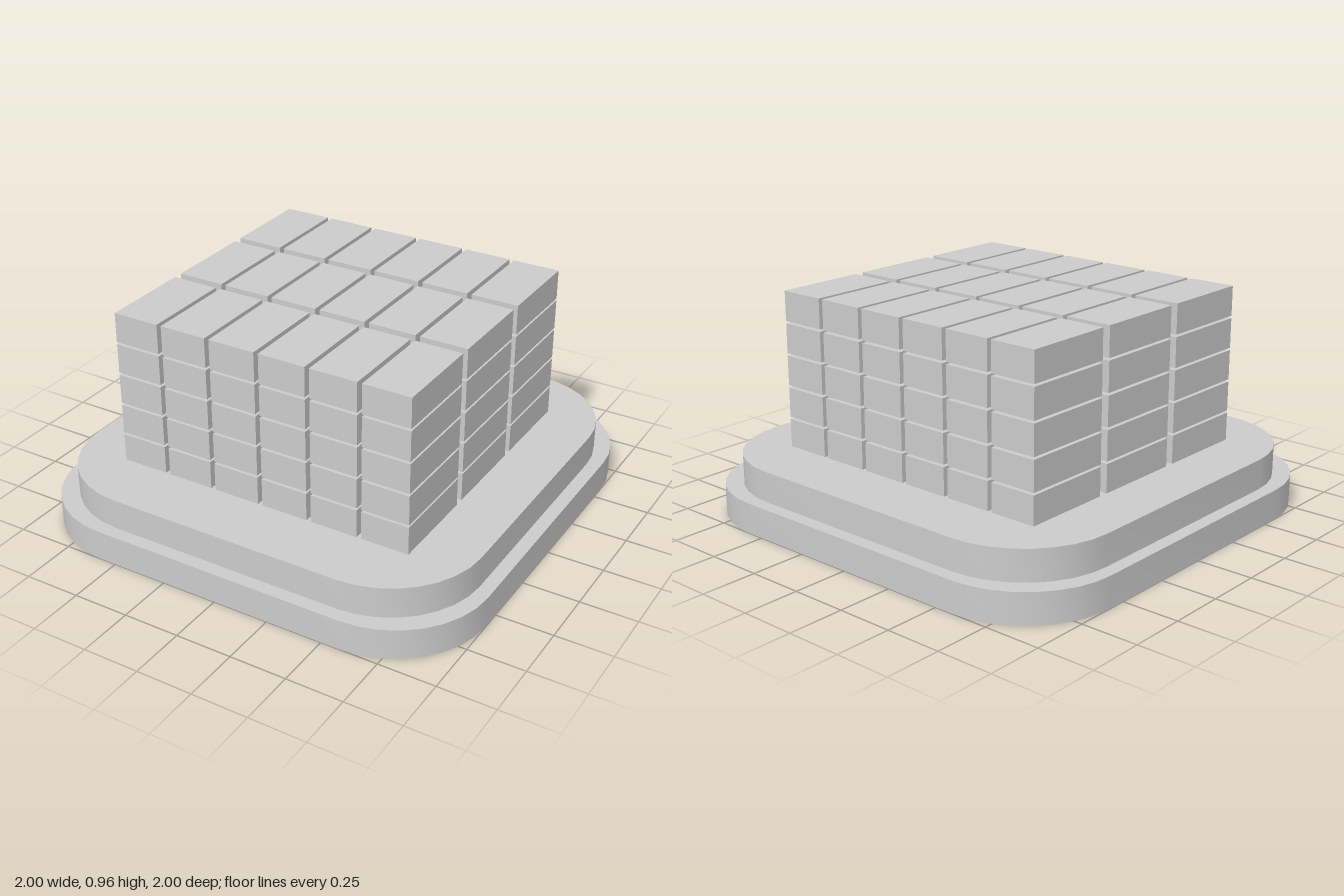
import * as THREE from 'three';
import { toCreasedNormals } from 'three/addons/utils/BufferGeometryUtils.js';

const material = new THREE.MeshStandardMaterial({ color: 0xcccccc });

// Rounded square slab lying flat, with its underside at y = bottom
function makePlate(name, half, radius, bottom, height) {
  const c = half - radius;
  const shape = new THREE.Shape();
  shape.absarc(c, c, radius, 0, Math.PI / 2);
  shape.absarc(-c, c, radius, Math.PI / 2, Math.PI);
  shape.absarc(-c, -c, radius, Math.PI, Math.PI * 1.5);
  shape.absarc(c, -c, radius, Math.PI * 1.5, Math.PI * 2);
  shape.closePath();
  const geometry = new THREE.ExtrudeGeometry(shape, { depth: height, bevelEnabled: false, curveSegments: 4 });
  geometry.rotateX(-Math.PI / 2);
  const mesh = new THREE.Mesh(toCreasedNormals(geometry, 0.6), material);
  mesh.name = name;
  mesh.position.y = bottom;
  return mesh;
}

export function createModel() {
  const model = new THREE.Group();
  model.name = 'blockStackOnBase';

  // Two-step base
  model.add(makePlate('lowerPlate', 1, 0.42, 0, 0.135));
  model.add(makePlate('upperPlate', 0.94, 0.41, 0.135, 0.135));

  // Stack of separate blocks: 6 across, 5 high, 3 deep
  const blocks = new THREE.Group();
  blocks.name = 'blockStack';
  const count = [6, 5, 3];
  const pitch = [0.2328, 0.1425, 0.4515];
  const blockGeometry = new THREE.BoxGeometry(0.212, 0.132, 0.41);
  for (let j = 0; j < count[1]; j++) {
    for (let k = 0; k < count[2]; k++) {
      for (let i = 0; i < count[0]; i++) {
        const block = new THREE.Mesh(blockGeometry, material);
        block.name = 'block';
        block.position.set(
          (i - (count[0] - 1) / 2) * pitch[0],
          0.329 + j * pitch[1],
          (k - (count[2] - 1) / 2) * pitch[2]
        );
        blocks.add(block);
      }
    }
  }
  model.add(blocks);
  return model;
}
